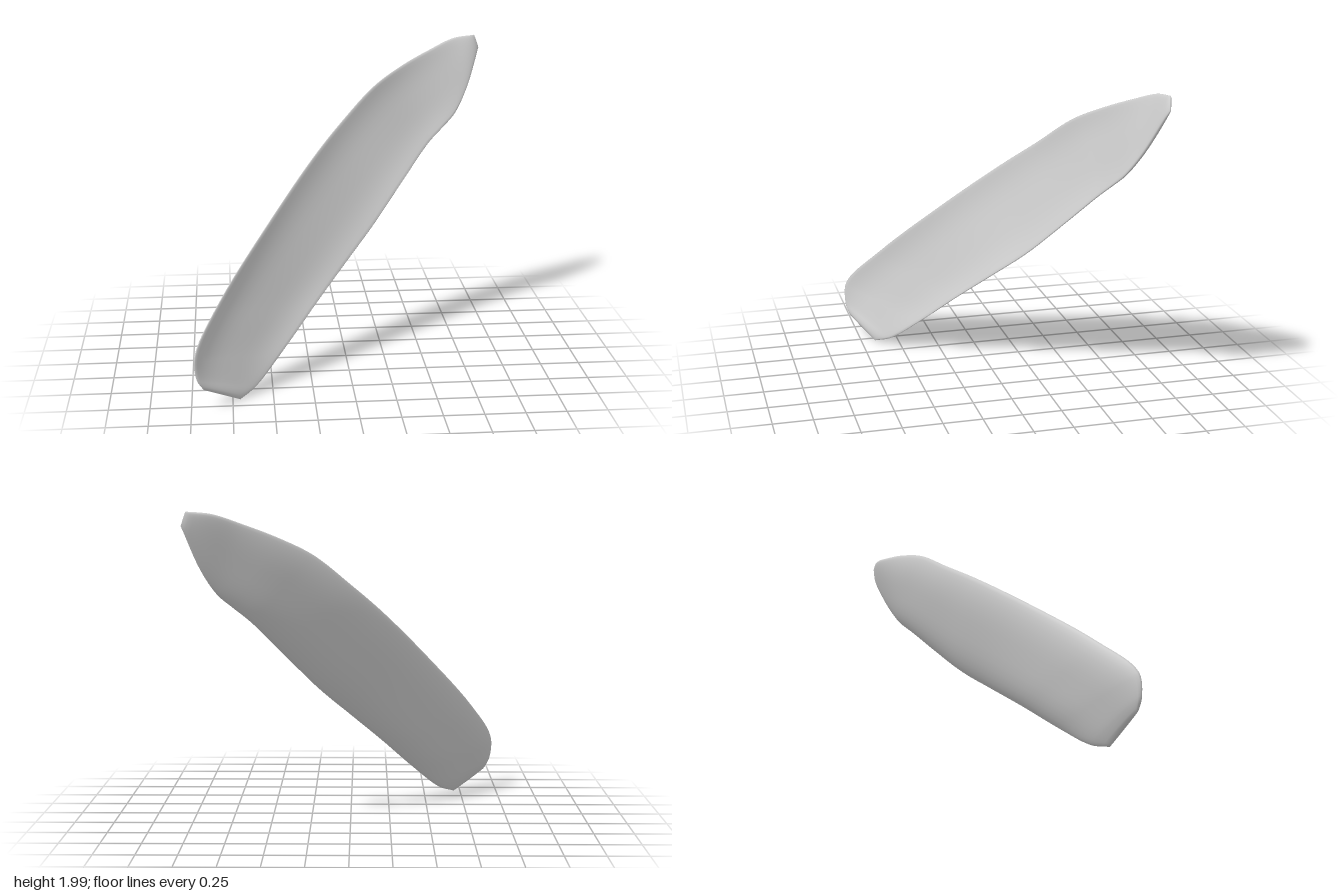
import * as THREE from 'three';

// Matching points along the two long rims, from the blunt foot to the tip
const UPPER = [
  [-0.925, 0.14, 0.795], [-0.965, 0.22, 0.815], [-0.972, 0.36, 0.805], [-0.82, 0.62, 0.59],
  [-0.5, 1.01, 0.225], [-0.2, 1.34, -0.1], [0, 1.53, -0.29], [0.22, 1.72, -0.455],
  [0.42, 1.83, -0.59], [0.62, 1.915, -0.7], [0.8, 1.98, -0.785], [0.945, 1.995, -0.815],
];
const LOWER = [
  [-0.705, 0.01, 0.655], [-0.6, 0.06, 0.56], [-0.42, 0.23, 0.395], [-0.2, 0.46, 0.19],
  [0, 0.66, 0.005], [0.2, 0.86, -0.175], [0.4, 1.09, -0.345], [0.6, 1.32, -0.505],
  [0.7, 1.41, -0.56], [0.79, 1.495, -0.61], [0.88, 1.65, -0.69], [0.975, 1.91, -0.805],
];
const STEPS = 66;      // sections along the length
const HALF = 16;       // points across each face
const THICKNESS = 0.04;
const DISH = 0.08;     // hollow depth relative to width

const rim = (pts) => new THREE.CatmullRomCurve3(pts.map((p) => new THREE.Vector3(...p)));

function createBladeGeometry() {
  const upper = rim(UPPER), lower = rim(LOWER);
  const positions = [], index = [];
  const ring = HALF * 2;

  for (let i = 0; i <= STEPS; i++) {
    const t = i / STEPS;
    const u = upper.getPoint(t), l = lower.getPoint(t);
    const across = l.clone().sub(u);
    const width = across.length();
    const t0 = Math.max(0, t - 0.08), t1 = Math.min(1, t + 0.08);
    const along = upper.getPoint(t1).add(lower.getPoint(t1))
      .sub(upper.getPoint(t0)).sub(lower.getPoint(t0));
    const normal = across.clone().cross(along).normalize();
    // thin out towards both ends, and let the hollow run out flat there
    const end = Math.min(1, Math.min(t, 1 - t) / 0.07);
    const half = 0.5 * THICKNESS * (0.25 + 0.75 * Math.sqrt(end * (2 - end)));
    const hollow = DISH * width * THREE.MathUtils.smoothstep(t, -0.02, 0.22)
      * (1 - THREE.MathUtils.smoothstep(t, 0.65, 1));

    // front face from the upper rim to the lower one, then back behind
    for (let j = 0; j < ring; j++) {
      const angle = (j / ring) * Math.PI * 2;
      const s = -Math.cos(angle);
      const skin = Math.sign(Math.sin(angle)) * Math.pow(Math.abs(Math.sin(angle)), 0.6) * half;
      const sag = hollow * (1 - Math.abs(s) ** 3);
      const p = u.clone().addScaledVector(across, (s + 1) / 2).addScaledVector(normal, skin - sag);
      positions.push(p.x, p.y, p.z);
    }
  }
  for (let i = 0; i < STEPS; i++) {
    for (let j = 0; j < ring; j++) {
      const k = (j + 1) % ring;
      const a = i * ring + j, b = i * ring + k;
      index.push(a, b, a + ring, b, b + ring, a + ring);
    }
  }
  // end caps, stitched front to back
  const last = STEPS * ring;
  for (let j = 0; j < HALF; j++) {
    const a = j, b = j + 1, c = (ring - j) % ring, d = ring - j - 1;
    index.push(a, d, b, a, c, d);
    index.push(last + a, last + b, last + d, last + a, last + d, last + c);
  }

  const geometry = new THREE.BufferGeometry();
  geometry.setAttribute('position', new THREE.Float32BufferAttribute(positions, 3));
  geometry.setIndex(index);
  geometry.computeVertexNormals();
  return geometry;
}

export function createModel() {
  const group = new THREE.Group();
  group.name = 'curvedBlade';
  const grey = new THREE.MeshStandardMaterial({ color: 0xcccccc });
  grey.name = 'light grey';
  const blade = new THREE.Mesh(createBladeGeometry(), grey);
  blade.name = 'blade';
  group.add(blade);
  return group;
}
